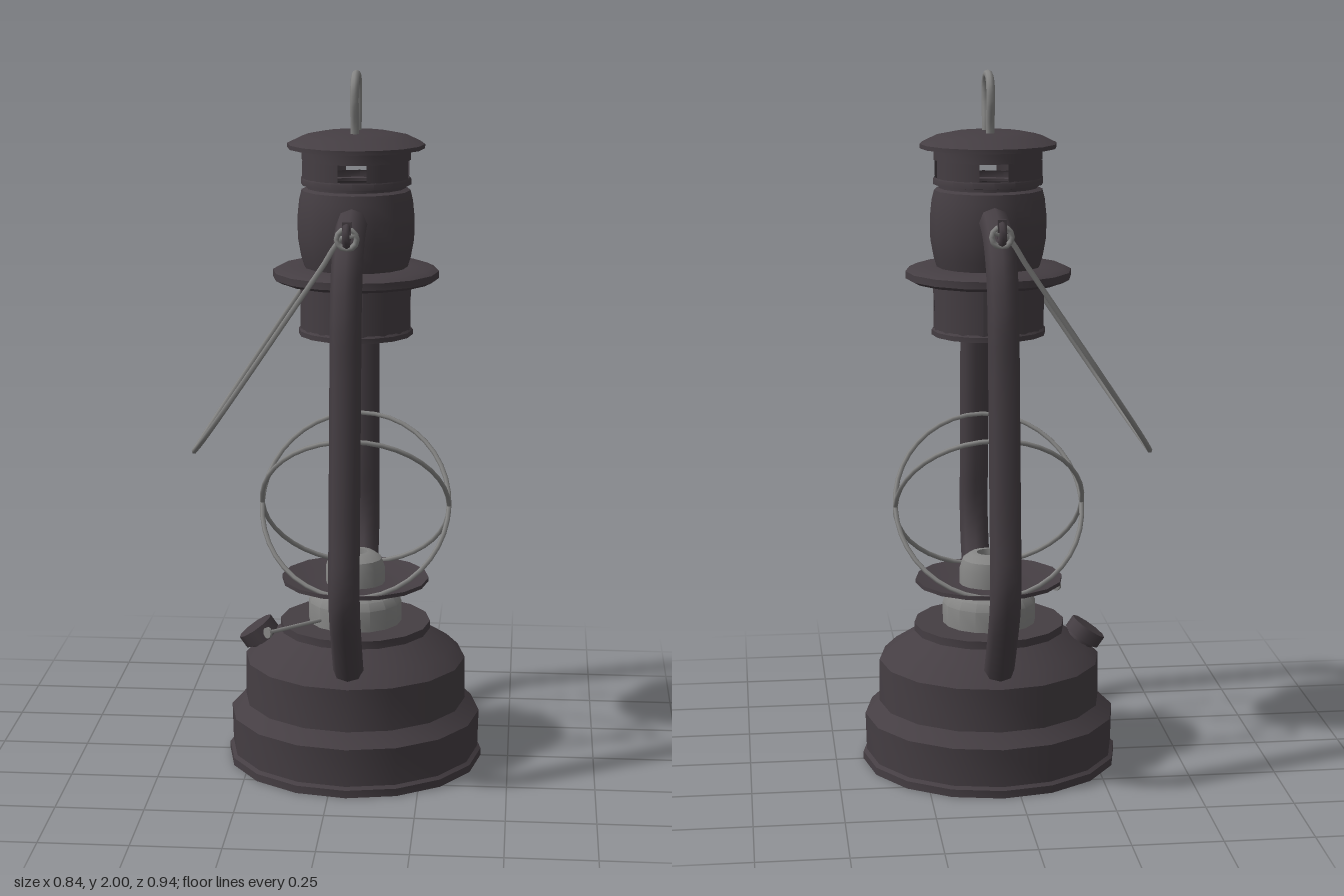
import * as THREE from 'three';
import { toCreasedNormals } from 'three/addons/utils/BufferGeometryUtils.js';

export function createModel() {
  const model = new THREE.Group();
  model.name = 'oilLantern';
  const AXIS = 0.05, SIDES = 16;
  const dark = new THREE.MeshStandardMaterial({ color: 0x453e43, side: THREE.DoubleSide });
  dark.name = 'dark painted metal';
  const grey = new THREE.MeshStandardMaterial({ color: 0x858584, side: THREE.DoubleSide });
  grey.name = 'bare grey metal';

  // Everything is built around the lantern's own upright axis
  const body = new THREE.Group();
  body.name = 'lantern';
  body.position.x = AXIS;
  model.add(body);

  const add = (name, geo, mat, parent = body) => {
    const mesh = new THREE.Mesh(geo, mat);
    mesh.name = name;
    parent.add(mesh);
    return mesh;
  };
  const lathe = (name, profile, mat) => add(name, toCreasedNormals(
    new THREE.LatheGeometry(profile.map(([r, y]) => new THREE.Vector2(r, y)), SIDES), 0.55), mat);
  const wire = (name, points, radius, mat, segs = 40, sides = 6, closed = false) => add(name,
    new THREE.TubeGeometry(new THREE.CatmullRomCurve3(
      points.map(p => new THREE.Vector3(...p)), closed, 'centripetal'), segs, radius, sides, closed), mat);

  // Fuel tank
  lathe('fuelTank', [[0, 0], [0.37, 0], [0.37, 0.022], [0.36, 0.03], [0.363, 0.14], [0.322, 0.178],
    [0.32, 0.302], [0.285, 0.335], [0.205, 0.385], [0.218, 0.387], [0.218, 0.41], [0, 0.41]], dark);

  // Burner: drum, dish and dome with a wick opening
  lathe('burnerDrum', [[0.135, 0.41], [0.135, 0.47], [0.122, 0.492], [0.09, 0.51]], grey);
  lathe('burnerDish', [[0.09, 0.505], [0.13, 0.508], [0.213, 0.53], [0.213, 0.541], [0.13, 0.525], [0.08, 0.525]], dark);
  lathe('burnerDome', [[0.086, 0.52], [0.086, 0.57], [0.077, 0.597], [0.055, 0.613], [0.035, 0.615],
    [0.033, 0.595], [0, 0.595]], grey);

  // Wick adjuster
  const a = new THREE.Vector3(-0.05, 0.432, 0.05), b = new THREE.Vector3(-0.23, 0.438, 0.238);
  wire('wickRod', [a.toArray(), b.toArray()], 0.006, grey, 1);
  const knob = add('wickKnob', new THREE.CylinderGeometry(0.016, 0.016, 0.008, 10), grey);
  knob.position.copy(b);
  knob.quaternion.setFromUnitVectors(new THREE.Vector3(0, 1, 0), b.clone().sub(a).normalize());

  // Filler neck and cap on the sloping shoulder
  const filler = new THREE.Group();
  filler.name = 'filler';
  filler.position.set(-0.283, 0.365, 0);
  filler.rotation.z = 0.61;
  body.add(filler);
  add('fillerCap', new THREE.CylinderGeometry(0.056, 0.056, 0.038, 10), dark, filler);
  add('fillerNeck', new THREE.CylinderGeometry(0.042, 0.042, 0.06, 10), dark, filler).position.y = -0.045;

  // Two crossed wire loops guarding the glass space
  for (const s of [1, -1]) {
    const loop = [];
    for (let i = 0; i < 20; i++) {
      const t = i / 20 * Math.PI * 2;
      loop.push([0.27 * Math.cos(t), 0.757 + 0.228 * Math.sin(t), s * 0.185 * Math.sin(t)]);
    }
    wire('guardLoop', loop, 0.007, grey, 40, 6, true);
  }

  // Chimney lower collar, with one pierced panel on each side
  const R = 0.157, step = Math.PI * 2 / SIDES;
  lathe('collarLip', [[0, 1.258], [0.162, 1.258], [0.162, 1.272], [R, 1.278]], dark);
  const half = R * Math.sin(step / 2);
  const panel = new THREE.Shape([[-half, -0.07], [half, -0.07], [half, 0.07], [-half, 0.07]]
    .map(p => new THREE.Vector2(...p)));
  panel.holes.push(new THREE.Path().absarc(0, -0.005, 0.016, 0, Math.PI * 2, true));
  for (let i = 0; i < 4; i++) {
    const side = new THREE.Group();
    side.name = 'chimneySide';
    side.rotation.y = i * Math.PI / 2;
    body.add(side);
    add('piercedPanel', new THREE.ShapeGeometry(panel, 8), dark, side)
      .position.set(0, 1.345, R * Math.cos(step / 2));
    add('collarWall', new THREE.CylinderGeometry(R, R, 0.14, 3, 1, true, step / 2, step * 3), dark, side)
      .position.y = 1.345;
    // Walls between the four vent windows
    const w = 0.265;
    add('ventPillar', new THREE.CylinderGeometry(0.153, 0.153, 0.05, 4, 1, true, w, Math.PI / 2 - 2 * w), dark, side)
      .position.y = 1.728;
  }

  // Chimney flange, bulging body, vent rings and cap
  lathe('flange', [[0.15, 1.405], [0.215, 1.41], [0.235, 1.42], [0.235, 1.44], [0.215, 1.45], [0.14, 1.452]], dark);
  lathe('chimneyBody', [[0.146, 1.45], [0.155, 1.48], [0.164, 1.53], [0.165, 1.59], [0.16, 1.64],
    [0.153, 1.668], [0.14, 1.674], [0.14, 1.682], [0.155, 1.684], [0.155, 1.7], [0.153, 1.704]], dark);
  lathe('ventTop', [[0.153, 1.752], [0.153, 1.785]], dark);
  lathe('cap', [[0, 1.782], [0.155, 1.782], [0.193, 1.785], [0.193, 1.797], [0.15, 1.818], [0.1, 1.828], [0, 1.83]], dark);

  // Lifting ring on the cap
  wire('liftingRing', [[0, 1.81, 0.048], [0, 1.85, 0.052], [0, 1.92, 0.066], [0, 1.96, 0.06], [0, 1.983, 0.035],
    [0, 1.988, 0], [0, 1.983, -0.035], [0, 1.96, -0.06], [0, 1.92, -0.066], [0, 1.85, -0.052], [0, 1.81, -0.048]],
  0.012, grey, 32, 8);

  // Side air tubes and the lugs carrying the bail
  for (const s of [1, -1]) {
    wire('airTube', [[0, 1.595, 0.1], [0, 1.59, 0.18], [0, 1.56, 0.262], [0, 1.49, 0.332], [0, 1.38, 0.368],
      [0, 1.2, 0.383], [0, 0.8, 0.414], [0, 0.64, 0.426], [0, 0.55, 0.405], [0, 0.44, 0.335], [0, 0.34, 0.262],
      [0, 0.29, 0.222]].map(([x, y, z]) => [x, y, z * s]), 0.043, dark, 36, 8);
    const lug = add('bailLug', new THREE.TorusGeometry(0.024, 0.011, 6, 12), dark);
    lug.position.set(0, 1.588, s * 0.343);
    lug.rotation.y = Math.PI / 2;
    const tip = add('lugTip', new THREE.BoxGeometry(0.024, 0.035, 0.016), dark);
    tip.position.set(0, 1.608, s * 0.338);
    const eye = add('bailEye', new THREE.TorusGeometry(0.027, 0.008, 6, 12), grey);
    eye.position.set(0, 1.578, s * 0.335);
  }

  // Wire bail hanging down to one side; x follows y along a slanted plane
  const arm = [[1.585, 0.332], [1.5, 0.326], [1.35, 0.322], [1.2, 0.312], [1.08, 0.28], [1.0, 0.215], [0.945, 0.12]];
  const slant = (y, z) => [(y - 1.6) * 0.672, y, z];
  wire('bail', [[0.022, 1.59, 0.336], ...arm.map(([y, z]) => slant(y, z)), slant(0.908, 0),
    ...arm.slice().reverse().map(([y, z]) => slant(y, -z)), [0.022, 1.59, -0.336]], 0.008, grey, 48);

  return model;
}
